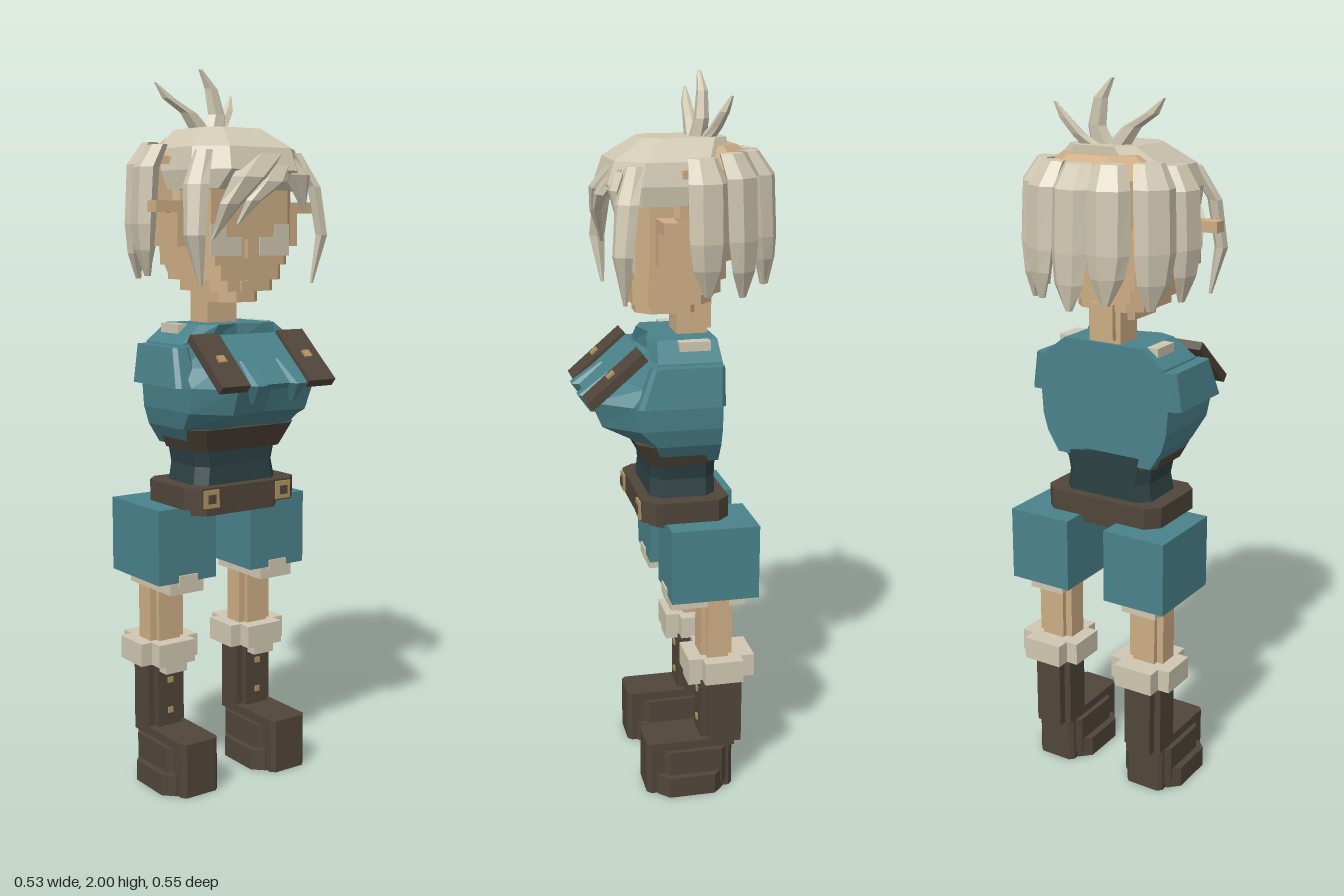
import * as THREE from 'three';

const mat = (name, color) => {
  const m = new THREE.MeshStandardMaterial({ color, flatShading: true });
  m.name = name;
  return m;
};

export function createModel() {
  const model = new THREE.Group();
  const skin = mat('skin', 0xcdad85), cream = mat('cream', 0xcfc7b1), teal = mat('teal', 0x4a828b);
  const dark = mat('darkCloth', 0x2d4144), brown = mat('leather', 0x50453a), gold = mat('brass', 0xb0925f);

  const add = (name, geo, material, x = 0, y = 0, z = 0) => {
    const m = new THREE.Mesh(geo, material);
    m.name = name;
    m.position.set(x, y, z);
    model.add(m);
    return m;
  };
  // box from its limits
  const box = (name, m, x0, x1, y0, y1, z0, z1) =>
    add(name, new THREE.BoxGeometry(x1 - x0, y1 - y0, z1 - z0), m, (x0 + x1) / 2, (y0 + y1) / 2, (z0 + z1) / 2);

  // closed skin over rings of [x, y, z]; each ring runs counterclockwise seen from above
  const loft = (name, m, rings) => {
    if (rings[0][0][1] > rings.at(-1)[0][1]) rings = [...rings].reverse();
    const pos = [], n = rings[0].length;
    const tri = (...p) => p.forEach(v => pos.push(...v));
    const mid = r => [0, 1, 2].map(k => r.reduce((s, p) => s + p[k], 0) / n);
    const lo = rings[0], hi = rings.at(-1);
    for (let i = 0; i < n; i++) {
      const j = (i + 1) % n;
      for (let k = 0; k + 1 < rings.length; k++) {
        const a = rings[k], b = rings[k + 1];
        tri(a[i], a[j], b[j]);
        tri(a[i], b[j], b[i]);
      }
      tri(lo[j], lo[i], mid(lo));
      tri(hi[i], hi[j], mid(hi));
    }
    const g = new THREE.BufferGeometry();
    g.setAttribute('position', new THREE.Float32BufferAttribute(pos, 3));
    g.computeVertexNormals();
    return add(name, g, m);
  };
  // chamfered rectangle ring
  const oct = (y, hx, zb, zf, c, x = 0) => [
    [x + hx - c, y, zf], [x + hx, y, zf - c], [x + hx, y, zb + c], [x + hx - c, y, zb],
    [x - hx + c, y, zb], [x - hx, y, zb + c], [x - hx, y, zf - c], [x - hx + c, y, zf]];
  const slab = (name, m, y0, y1, hx, zb, zf, c, x = 0) =>
    loft(name, m, [oct(y0, hx, zb, zf, c, x), oct(y1, hx, zb, zf, c, x)]);
  // tapered six-sided strand through [x, y, z, halfWidth, halfDepth], turned to face angle
  const strand = (name, m, pts, ang) => loft(name, m, pts.map(([x, y, z, w, d]) =>
    [0, 1, 2, 3, 4, 5].map(i => {
      const u = w * Math.cos(i * Math.PI / 3), v = -d * Math.sin(i * Math.PI / 3);
      return [x + u * Math.cos(ang) + v * Math.sin(ang), y, z - u * Math.sin(ang) + v * Math.cos(ang)];
    })));

  // legs
  for (const s of [1, -1]) {
    const x = s * 0.155;
    slab('bootSole', brown, 0, 0.06, 0.095, -0.1, 0.09, 0.03, x);
    slab('bootFoot', brown, 0, 0.155, 0.06, -0.13, 0.12, 0.012, x);
    slab('bootInstep', brown, 0.02, 0.13, 0.075, -0.11, 0.07, 0.015, x);
    box('bootShaftWide', brown, x - 0.06, x + 0.06, 0.13, 0.35, -0.135, -0.06);
    box('bootShaftDeep', brown, x - 0.04, x + 0.04, 0.13, 0.35, -0.16, -0.04);
    for (const y of [0.2, 0.29]) box('bootStud', gold, x - 0.008, x + 0.008, y - 0.008, y + 0.008, -0.04, -0.035);
    box('cuffWide', cream, x - 0.095, x + 0.095, 0.345, 0.41, -0.15, -0.04);
    box('cuffDeep', cream, x - 0.06, x + 0.06, 0.345, 0.41, -0.19, 0);
    box('cuffFlap', cream, x - 0.035, x + 0.035, 0.32, 0.35, -0.07, -0.005);
    box('shinWide', skin, x - 0.055, x + 0.055, 0.4, 0.61, -0.115, -0.055);
    box('shinDeep', skin, x - 0.035, x + 0.035, 0.4, 0.61, -0.13, -0.04);
    box('hemLining', cream, x - 0.055, x + 0.055, 0.565, 0.6, -0.16, 0.05);
    box('hemPatch', cream, x - 0.03, x + 0.03, 0.59, 0.62, 0.05, 0.06);
    box('trouserLeg', teal, x - 0.095, x + 0.095, 0.6, 0.81, -0.19, 0.055);
  }

  // waist and belt
  slab('hips', brown, 0.785, 0.83, 0.145, -0.11, 0.09, 0.03);
  slab('belt', brown, 0.81, 0.87, 0.185, -0.125, 0.12, 0.035);
  loft('waist', dark, [oct(0.86, 0.14, -0.095, 0.09, 0.03), oct(0.92, 0.13, -0.095, 0.085, 0.03),
    oct(1.0, 0.145, -0.095, 0.09, 0.03)]);
  loft('ribBand', brown, [oct(0.965, 0.15, -0.09, 0.1, 0.03), oct(1.03, 0.178, -0.09, 0.13, 0.035)]);
  for (const s of [1, -1]) {
    box('buckle', gold, s * 0.122 - 0.025, s * 0.122 + 0.025, 0.815, 0.865, 0.118, 0.126);
    box('buckleCentre', brown, s * 0.122 - 0.012, s * 0.122 + 0.012, 0.828, 0.852, 0.125, 0.13);
  }

  // chest
  const chest = ([y, hx, zf, zm]) => [[0, y, zf - 0.02], [hx * 0.6, y, zf], [hx, y, zm], [hx, y, -0.095],
    [-hx, y, -0.095], [-hx, y, zm], [-hx * 0.6, y, zf]];
  loft('chest', teal, [[0.975, 0.15, 0.09, 0.06], [1.03, 0.185, 0.125, 0.08], [1.08, 0.2, 0.22, 0.13],
    [1.15, 0.205, 0.25, 0.15], [1.2, 0.2, 0.16, 0.11], [1.26, 0.19, 0.09, 0.08], [1.31, 0.125, 0.09, 0.07]].map(chest));
  const slope = -0.86;
  const bib = box('bib', teal, -0.1, 0.1, 1.12, 1.31, 0.17, 0.19);
  bib.rotation.x = slope;
  for (const s of [1, -1]) {
    loft('sleeve', teal, [oct(1.15, 0.035, -0.095, 0.14, 0.012, s * 0.205), oct(1.255, 0.025, -0.095, 0.1, 0.01, s * 0.2)]);
    const plate = box('chestPlate', brown, s * 0.143 - 0.045, s * 0.143 + 0.045, 1.12, 1.315, 0.175, 0.2);
    plate.rotation.set(slope, 0, 0);
    const stud = box('plateStud', gold, s * 0.143 - 0.012, s * 0.143 + 0.012, 1.217, 1.241, 0.197, 0.203);
    stud.rotation.x = slope;
    strand('bibFold', teal, [[s * 0.06, 1.22, 0.17, 0.03, 0.03], [s * 0.065, 1.16, 0.25, 0.03, 0.033],
      [s * 0.065, 1.11, 0.235, 0.008, 0.01]], 0);
    box('shoulderTab', cream, s * 0.14 - 0.018, s * 0.14 + 0.018, 1.24, 1.31, -0.07, 0.015);
  }

  // neck and stepped head
  box('neck', skin, -0.05, 0.05, 1.28, 1.42, -0.085, 0.0);
  box('nape', skin, -0.035, 0.035, 1.32, 1.42, -0.1, -0.02);
  for (const [y0, y1, hx, zb, zf] of [[1.37, 1.4, 0.065, -0.07, 0.11], [1.4, 1.43, 0.105, -0.09, 0.125],
    [1.43, 1.47, 0.13, -0.11, 0.13], [1.47, 1.52, 0.15, -0.12, 0.13], [1.52, 1.7, 0.162, -0.13, 0.13]])
    slab('head', skin, y0, y1, hx, zb, zf, 0.035);
  box('nose', skin, -0.018, 0.018, 1.49, 1.54, 0.12, 0.145);
  box('mouth', skin, -0.03, 0.03, 1.4, 1.43, 0.12, 0.136);
  for (const s of [1, -1]) {
    box('eye', cream, s * 0.08 - 0.05, s * 0.08 + 0.05, 1.495, 1.545, 0.128, 0.134);
    box('eyeCorner', cream, s * 0.105 - 0.025, s * 0.105 + 0.025, 1.545, 1.58, 0.128, 0.134);
    box('ear', skin, s * 0.175 - 0.025, s * 0.175 + 0.025, 1.52, 1.64, 0.035, 0.08);
    box('earTip', skin, s * 0.225 - 0.042, s * 0.225 + 0.042, 1.61, 1.64, 0.04, 0.08);
  }

  // scalp and hair cap
  loft('scalp', skin, [oct(1.64, 0.175, -0.21, 0.1, 0.08), oct(1.76, 0.18, -0.22, 0.1, 0.09),
    oct(1.815, 0.11, -0.16, 0.06, 0.05)]);
  loft('hairCap', cream, [oct(1.67, 0.178, -0.05, 0.165, 0.05), oct(1.72, 0.183, -0.1, 0.195, 0.075),
    oct(1.78, 0.17, -0.13, 0.175, 0.07), oct(1.835, 0.1, -0.13, 0.09, 0.04)]);

  // hanging locks round the back and sides
  const hang = (x, z, w, top, tip) => strand('backLock', cream, [
    [x * 0.85, top, z * 0.85, w * 0.75, 0.025], [x, top - 0.06, z, w, 0.032],
    [x * 1.04, 1.58, z * 1.04, w, 0.03], [x * 1.03, tip + 0.07, z * 1.06, w * 0.8, 0.022],
    [x * 0.98, tip, z * 1.06, w * 0.2, 0.008]], Math.atan2(x, z));
  hang(0, -0.24, 0.055, 1.8, 1.43);
  for (const s of [1, -1]) {
    hang(s * 0.1, -0.22, 0.055, 1.8, 1.45);
    hang(s * 0.185, -0.14, 0.058, 1.8, 1.43);
    hang(s * 0.218, -0.045, 0.055, 1.79, 1.44);
    strand('frontLock', cream, [[s * 0.15, 1.77, 0.13, 0.025, 0.02], [s * 0.195, 1.68, 0.16, 0.035, 0.02],
      [s * 0.21, 1.55, 0.175, 0.03, 0.018], [s * 0.185, 1.42, 0.165, 0.006, 0.005]], s * 0.9);
  }

  // swept fringe
  const fringe = (...pts) => strand('fringe', cream, pts, 0);
  fringe([0.04, 1.77, 0.16, 0.07, 0.02], [-0.05, 1.7, 0.2, 0.06, 0.018], [-0.11, 1.63, 0.195, 0.035, 0.014], [-0.15, 1.54, 0.17, 0.005, 0.005]);
  fringe([0.08, 1.76, 0.16, 0.05, 0.02], [0.02, 1.69, 0.2, 0.05, 0.015], [-0.04, 1.64, 0.2, 0.025, 0.012], [-0.08, 1.58, 0.185, 0.005, 0.005]);
  fringe([0.07, 1.77, 0.15, 0.05, 0.02], [0.12, 1.71, 0.18, 0.045, 0.016], [0.15, 1.62, 0.17, 0.006, 0.006]);

  // tuft on the crown
  const tuft = (...pts) => strand('tuft', cream, pts, 0);
  tuft([-0.01, 1.81, -0.06, 0.04, 0.025], [-0.07, 1.88, -0.06, 0.028, 0.018], [-0.13, 1.915, -0.065, 0.022, 0.014], [-0.17, 1.955, -0.07, 0.004, 0.004]);
  tuft([0.01, 1.81, -0.06, 0.04, 0.025], [0.03, 1.88, -0.07, 0.028, 0.02], [0.015, 1.95, -0.075, 0.022, 0.015], [-0.02, 2.0, -0.075, 0.006, 0.006]);
  tuft([0.02, 1.81, -0.07, 0.04, 0.025], [0.07, 1.86, -0.1, 0.022, 0.018], [0.1, 1.9, -0.115, 0.018, 0.014], [0.12, 1.94, -0.13, 0.004, 0.004]);

  return model;
}
